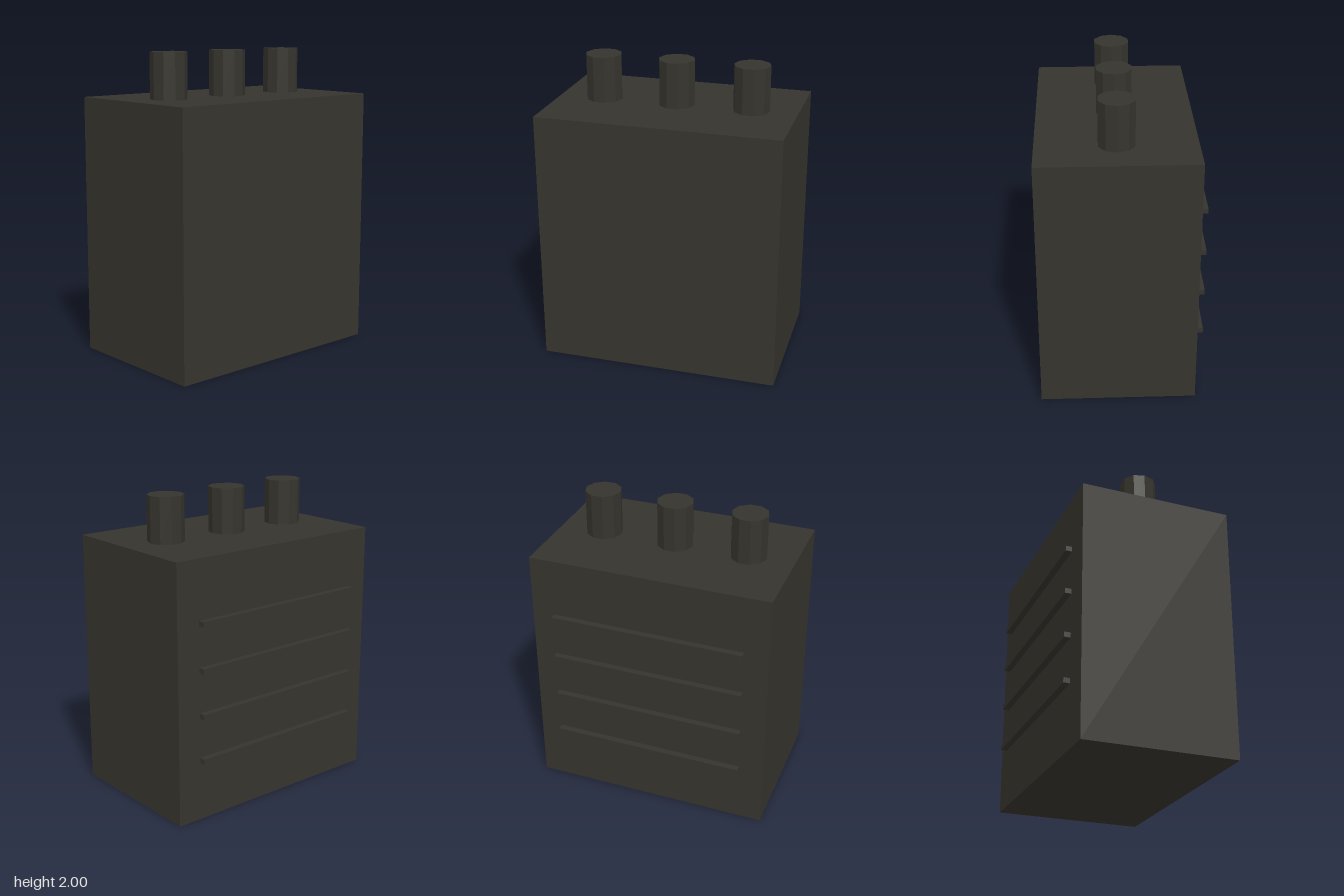
import * as THREE from 'three';

export function createModel() {
  const model = new THREE.Group();
  model.name = 'ventBlock';

  const darkOlive = new THREE.MeshStandardMaterial({ color: 0x36342d });
  darkOlive.name = 'darkOlive';
  // same colour, faceted for the ten-sided stacks
  darkOlive.flatShading = true;

  const add = (name, geometry, x, y, z) => {
    const mesh = new THREE.Mesh(geometry, darkOlive);
    mesh.name = name;
    mesh.position.set(x, y, z);
    model.add(mesh);
  };

  // Main housing
  add('housing', new THREE.BoxGeometry(1.59, 1.7, 1.008), 0, 0.85, 0.027);

  // Three ten-sided stacks on top, with corners pointing along x
  const stack = new THREE.CylinderGeometry(0.119, 0.119, 0.3, 10, 1, false, Math.PI / 2);
  [-0.494, 0, 0.494].forEach((x, i) => add(`stack${i + 1}`, stack, x, 1.85, 0.027));

  // Four slats floating just behind the back face
  const slat = new THREE.BoxGeometry(1.28, 0.034, 0.042);
  for (let i = 0; i < 4; i++) add(`backSlat${i + 1}`, slat, 0, 0.413 + i * 0.297, -0.51);

  return model;
}
